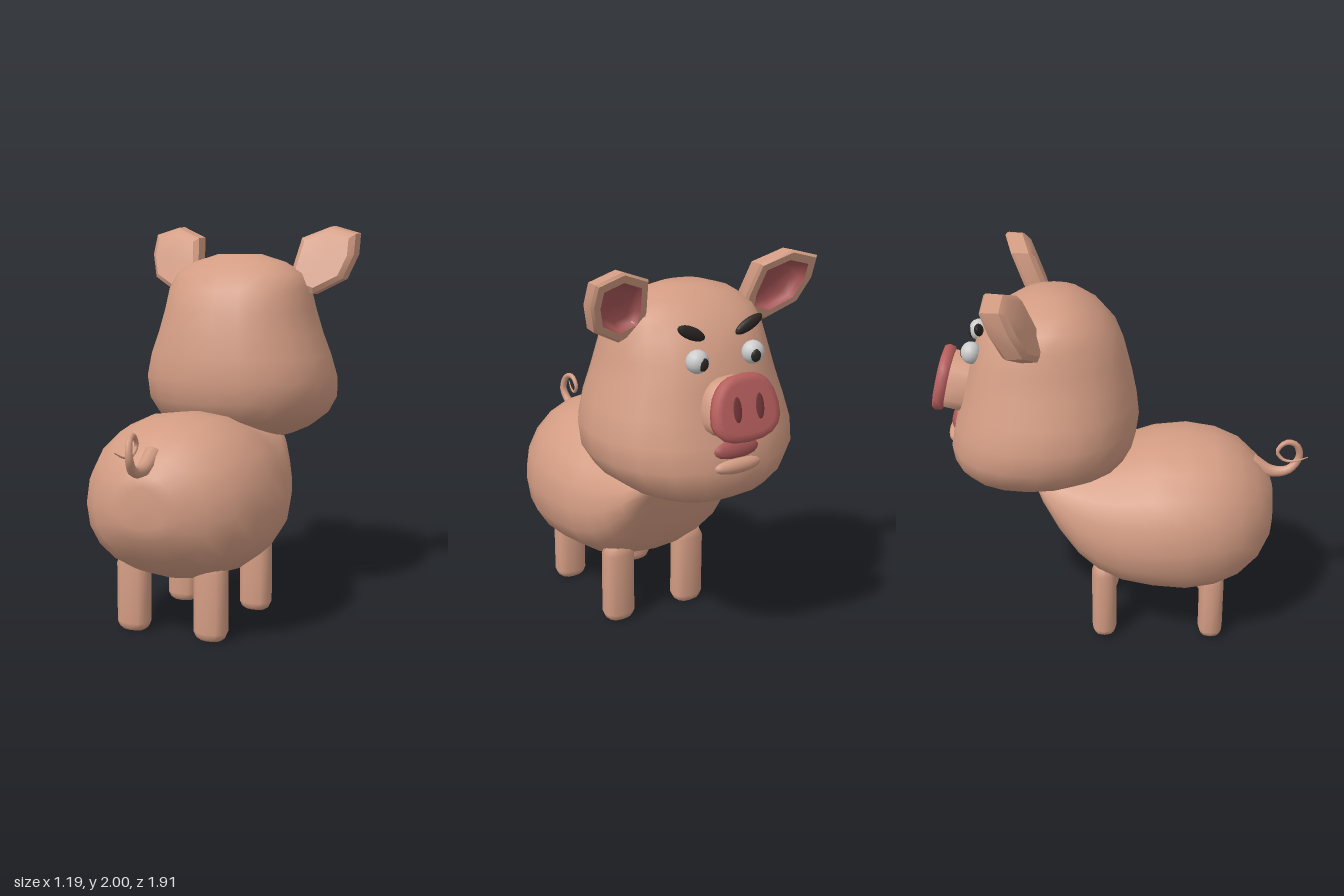
import * as THREE from 'three';
import { toCreasedNormals } from 'three/addons/utils/BufferGeometryUtils.js';

const mat = (color, side = THREE.FrontSide) => new THREE.MeshStandardMaterial({ color, side });
const skin = mat(0xd39c83);
const pink = mat(0xb9605f);
const inner = mat(0xa85657, THREE.DoubleSide);
const white = mat(0xd8d8d8);
const dark = mat(0x2a2624);
const nostrilMat = mat(0x743638);

// Closed rounded outline, returned as [a, b] pairs
function outline(ra, rb, sides, n = 2) {
  const p = (v) => Math.sign(v) * Math.abs(v) ** (2 / n);
  return Array.from({ length: sides }, (_, i) => {
    const t = (i / sides) * Math.PI * 2;
    return [ra * p(Math.cos(t)), rb * p(Math.sin(t))];
  });
}

// Skin a list of rings (arrays of [x, y, z]); capped ends, faces turned outward
function loft(rings, capStart = true, capEnd = true) {
  const n = rings[0].length, pos = rings.flat(2), idx = [];
  for (let r = 0; r < rings.length - 1; r++)
    for (let i = 0; i < n; i++) {
      const a = r * n + i, b = r * n + ((i + 1) % n);
      idx.push(a, b, a + n, b, b + n, a + n);
    }
  const cap = (r, flip) => {
    const c = pos.length / 3;
    for (let k = 0; k < 3; k++) pos.push(rings[r].reduce((s, p) => s + p[k], 0) / n);
    for (let i = 0; i < n; i++) {
      const a = r * n + i, b = r * n + ((i + 1) % n);
      idx.push(...(flip ? [c, b, a] : [c, a, b]));
    }
  };
  if (capStart) cap(0, true);
  if (capEnd) cap(rings.length - 1, false);
  const v = (i) => new THREE.Vector3().fromArray(pos, i * 3);
  const origin = v(0);
  let volume = 0;
  for (let i = 0; i < idx.length; i += 3) {
    const [a, b, c] = [0, 1, 2].map((k) => v(idx[i + k]).sub(origin));
    volume += a.dot(b.cross(c));
  }
  if (volume < 0) idx.reverse();
  const g = new THREE.BufferGeometry();
  g.setAttribute('position', new THREE.Float32BufferAttribute(pos, 3));
  g.setIndex(idx);
  g.computeVertexNormals();
  return g;
}

function add(parent, name, geometry, material) {
  const m = new THREE.Mesh(geometry, material);
  m.name = name;
  parent.add(m);
  return m;
}

function ellipsoid(parent, name, material, position, radii, tilt = [0, 0, 0]) {
  const m = add(parent, name, new THREE.SphereGeometry(1, 16, 10), material);
  m.position.set(...position);
  m.scale.set(...radii);
  m.rotation.set(...tilt);
  return m;
}

function buildEar(side) {
  const ear = new THREE.Group();
  ear.name = side > 0 ? 'leftEar' : 'rightEar';
  const shape = [[0.27, 1.77], [0.30, 1.94], [0.45, 2.0], [0.59, 1.96],
    [0.595, 1.85], [0.55, 1.72], [0.40, 1.64], [0.28, 1.68]];
  const ring = (scale, depth) => shape.map(([x, y]) => {
    const px = 0.43 + (x - 0.43) * scale, py = 1.82 + (y - 1.82) * scale;
    return [side * px, py, -0.43 - (py - 1.65) * 0.38 - (px - 0.43) * 0.15 - depth];
  });
  const shell = loft([ring(0.8, -0.06), ring(0.97, -0.035), ring(1, 0.04), ring(0.93, 0.055),
    ring(0.72, 0.055)], true, false);
  add(ear, 'earShell', toCreasedNormals(shell, 0.6), skin);
  const hollow = loft([ring(0.72, 0.055), ring(0.66, 0.02), ring(0.5, -0.01)], false, true);
  add(ear, 'innerEar', hollow, inner);
  return ear;
}

function buildSnout() {
  const snout = new THREE.Group();
  snout.name = 'snout';
  // Rounded outline, wider towards the bottom
  const ring = (rx, ry, z) => outline(rx, ry, 20, 2.5).map(([x, y]) => [x * (0.91 - 0.13 * y / ry), y, z]);
  add(snout, 'muzzle', loft([ring(0.17, 0.145, 0.3), ring(0.17, 0.14, 0.15), ring(0.175, 0.135, 0.03)]), skin);
  add(snout, 'nosePad', loft([ring(0.16, 0.13, 0.06), ring(0.188, 0.15, 0.05), ring(0.195, 0.157, 0.02),
    ring(0.182, 0.146, 0), ring(0.15, 0.118, -0.005)]), pink);
  for (const s of [-1, 1])
    ellipsoid(snout, 'nostril', nostrilMat, [s * 0.06, 0, -0.004], [0.023, 0.06, 0.006]);
  snout.position.set(0, 1.4, -0.925);
  snout.rotation.x = 0.22;
  return snout;
}

function buildTail() {
  const path = [[0, 0.93, 0.66], [0, 0.87, 0.77], [0, 0.88, 0.86], [0.01, 0.95, 0.913], [0, 1.025, 0.89],
    [-0.01, 1.04, 0.835], [-0.015, 0.99, 0.795], [-0.02, 0.945, 0.83], [-0.03, 0.945, 0.89], [-0.045, 0.975, 0.95]];
  const curve = new THREE.CatmullRomCurve3(path.map((p) => new THREE.Vector3(...p)));
  const segs = 32, sides = 8;
  const g = new THREE.TubeGeometry(curve, segs, 1, sides);
  const p = g.attributes.position, v = new THREE.Vector3();
  // Taper towards the tip
  for (let i = 0; i < p.count; i++) {
    const t = Math.floor(i / (sides + 1)) / segs, c = curve.getPointAt(t);
    const r = t < 0.3 ? 0.045 - t * 0.07 : 0.024 - (t - 0.3) * 0.031;
    v.fromBufferAttribute(p, i).sub(c).multiplyScalar(r).add(c);
    p.setXYZ(i, v.x, v.y, v.z);
  }
  return g;
}

export function createModel() {
  const pig = new THREE.Group();
  pig.name = 'pig';

  // Body: [z, bottom, top, half width], from rump to chest
  const bodyRows = [[0.78, 0.59, 0.79, 0.1], [0.765, 0.53, 0.84, 0.18], [0.7, 0.42, 0.93, 0.3], [0.6, 0.335, 1.02, 0.4],
    [0.48, 0.285, 1.07, 0.455], [0.33, 0.268, 1.088, 0.49], [0.16, 0.28, 1.07, 0.48], [0, 0.305, 1.02, 0.44],
    [-0.12, 0.36, 1.0, 0.4], [-0.22, 0.45, 0.99, 0.36], [-0.32, 0.6, 0.98, 0.31], [-0.4, 0.77, 0.97, 0.26],
    [-0.44, 0.87, 0.96, 0.2]];
  add(pig, 'body', loft(bodyRows.map(([z, lo, hi, rx]) =>
    outline(rx, (hi - lo) / 2, 20, 2.15).map(([x, y]) => [x, y + (hi + lo) / 2 - 0.03 * (1 - (2 * y / (hi - lo)) ** 2), z]))), skin);

  // Head: [y, front z, back z, half width], from chin to crown
  const headRows = [[0.86, -0.57, -0.37, 0.12], [0.885, -0.74, -0.22, 0.26], [0.93, -0.82, -0.1, 0.36],
    [1.0, -0.865, 0.02, 0.455], [1.09, -0.875, 0.065, 0.508], [1.2, -0.85, 0.08, 0.515], [1.32, -0.81, 0.068, 0.485],
    [1.44, -0.78, 0.045, 0.44], [1.56, -0.745, 0.015, 0.405], [1.67, -0.69, -0.03, 0.383],
    [1.75, -0.62, -0.1, 0.345], [1.81, -0.53, -0.18, 0.25], [1.85, -0.44, -0.27, 0.12]];
  add(pig, 'head', loft(headRows.map(([y, f, b, rx]) =>
    outline(rx, (b - f) / 2, 20, 2.2).map(([x, z]) => [x, y, z + (f + b) / 2]))), skin);

  pig.add(buildSnout());

  // Mouth and lower lip
  ellipsoid(pig, 'mouth', inner, [0, 1.175, -0.835], [0.125, 0.05, 0.035], [0.15, 0, 0]);
  ellipsoid(pig, 'lowerLip', skin, [0, 1.1, -0.85], [0.13, 0.04, 0.04]);

  for (const s of [-1, 1]) {
    pig.add(buildEar(s));
    ellipsoid(pig, 'eye', white, [s * 0.15, 1.585, -0.735], [0.055, 0.055, 0.05]);
    ellipsoid(pig, 'pupil', dark, [s * 0.142, 1.58, -0.772], [0.027, 0.032, 0.016]);
    ellipsoid(pig, 'eyebrow', dark, [s * 0.155, 1.705, -0.69], [0.08, 0.03, 0.02], [0, 0, s * 0.45]);

    // Legs: oval posts with rounded feet
    for (const [name, z, top] of [['frontLeg', -0.095, 0.44], ['backLeg', 0.47, 0.4]]) {
      const rows = [[0, 0.65], [0.012, 0.85], [0.04, 1], [top - 0.06, 1], [top, 0.7]];
      add(pig, name, loft(rows.map(([y, k]) =>
        outline(0.085 * k, 0.065 * k, 12, 2.5).map(([x, dz]) => [x + s * 0.21, y, dz + z]))), skin);
    }
  }

  add(pig, 'tail', buildTail(), skin);
  return pig;
}
